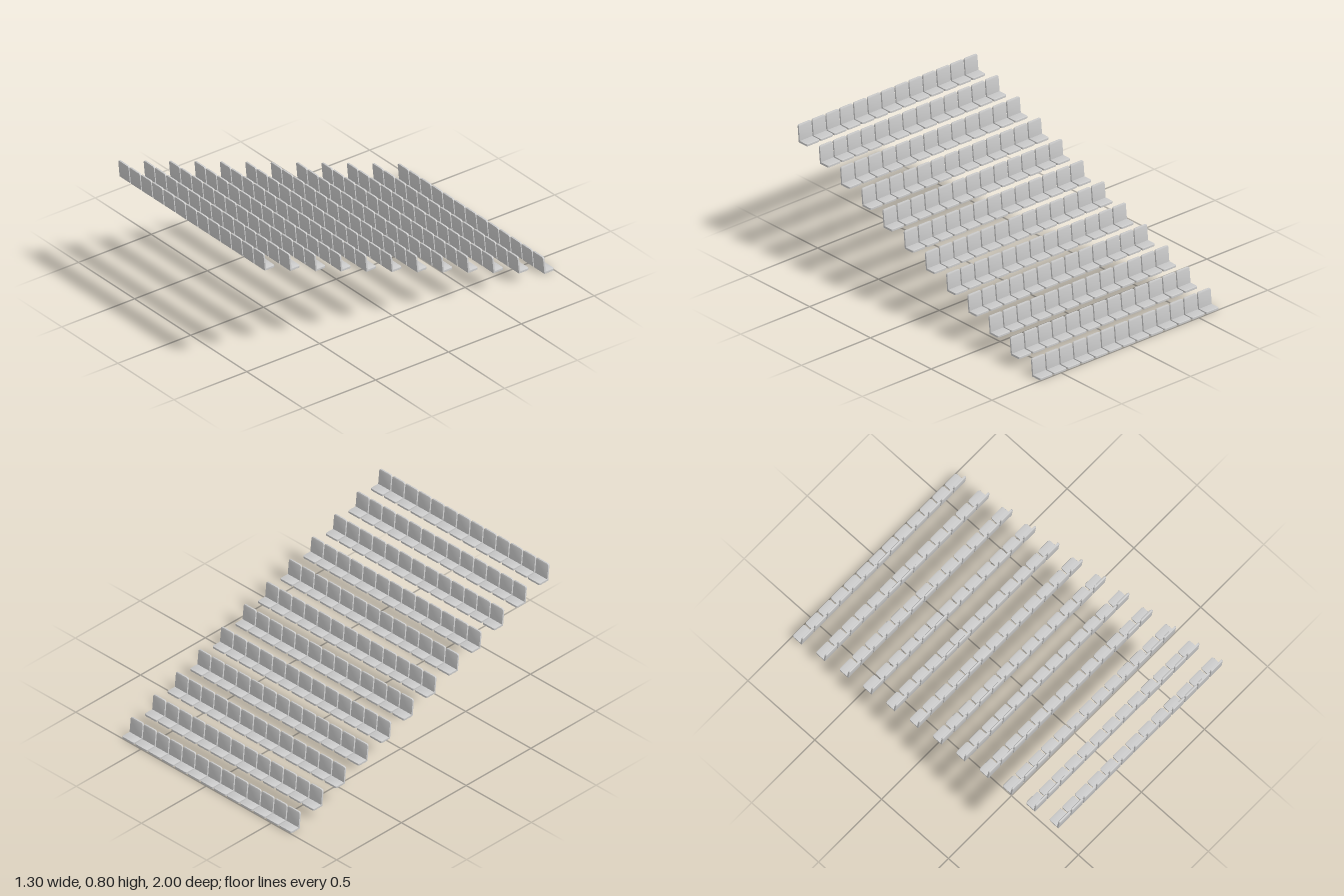
import * as THREE from 'three';
import { toCreasedNormals } from 'three/addons/utils/BufferGeometryUtils.js';

const ROWS = 12, SEATS = 13;
const PITCH_X = 0.1003, PITCH_Y = 0.0634, PITCH_Z = 0.1745;
const WIDTH = 0.093;

// Slab standing on y = 0, centred on x and z, with two rounded top corners and softened edges
function panel(width, height, thickness, radius, bevel) {
  const w = width / 2 - bevel, b = bevel, t = height - bevel;
  const s = new THREE.Shape();
  s.moveTo(-w, b);
  s.lineTo(w, b);
  s.lineTo(w, t - radius);
  s.quadraticCurveTo(w, t, w - radius, t);
  s.lineTo(-w + radius, t);
  s.quadraticCurveTo(-w, t, -w, t - radius);
  s.closePath();
  const depth = thickness - 2 * bevel;
  const geometry = new THREE.ExtrudeGeometry(s, {
    depth, curveSegments: 4, bevelEnabled: true,
    bevelSize: bevel, bevelThickness: bevel, bevelSegments: 2,
  });
  geometry.translate(0, 0, -depth / 2);
  return toCreasedNormals(geometry, 0.7);
}

export function createModel() {
  const model = new THREE.Group();
  model.name = 'seatingBlock';
  const material = new THREE.MeshStandardMaterial({ color: 0xcccccc });

  // Backrest leans back towards +z; cushion points towards -z
  const backGeometry = panel(WIDTH, 0.107, 0.011, 0.01, 0.002);
  backGeometry.rotateX(0.1).translate(0, 0.0006, -0.0162);
  const cushionGeometry = panel(WIDTH, 0.066, 0.013, 0.01, 0.002);
  cushionGeometry.rotateX(-Math.PI / 2).translate(0, 0.0065, -0.014);

  // Rows climb towards +z
  for (let r = 0; r < ROWS; r++) {
    const row = new THREE.Group();
    row.name = `row${r + 1}`;
    row.position.set(0, r * PITCH_Y, 1 - (ROWS - 1 - r) * PITCH_Z);
    for (let i = 0; i < SEATS; i++) {
      const seat = new THREE.Group();
      seat.name = 'seat';
      seat.position.x = (i - (SEATS - 1) / 2) * PITCH_X;
      const backrest = new THREE.Mesh(backGeometry, material);
      backrest.name = 'backrest';
      const cushion = new THREE.Mesh(cushionGeometry, material);
      cushion.name = 'cushion';
      seat.add(backrest, cushion);
      row.add(seat);
    }
    model.add(row);
  }
  return model;
}
